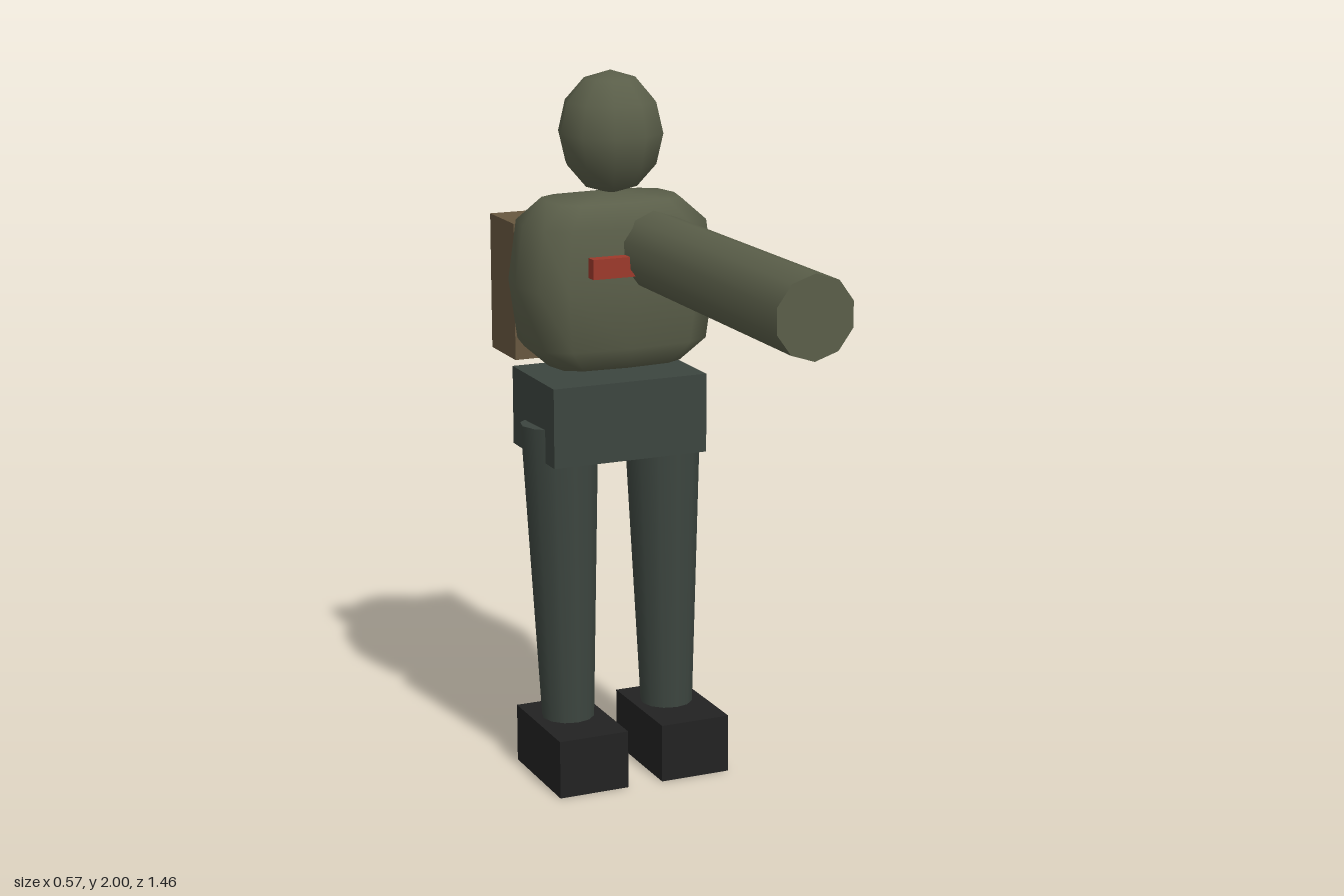
import * as THREE from 'three';
import { mergeVertices } from 'three/addons/utils/BufferGeometryUtils.js';

const material = (name, color) => {
  const m = new THREE.MeshStandardMaterial({ color });
  m.name = name;
  return m;
};

export function createModel() {
  const model = new THREE.Group();
  model.name = 'figure';
  const olive = material('olive cloth', 0x5a5e49);
  const slate = material('slate trousers', 0x3c453f);
  const black = material('black leather', 0x222222);
  const brown = material('brown canvas', 0x67573f);
  const red = material('red badge', 0x9c392b);

  const add = (name, geometry, mat, x, y, z) => {
    const mesh = new THREE.Mesh(geometry, mat);
    mesh.name = name;
    mesh.position.set(x, y, z);
    model.add(mesh);
    return mesh;
  };
  const box = (name, mat, w, h, d, x, y, z) =>
    add(name, new THREE.BoxGeometry(w, h, d), mat, x, y, z);

  // Tapered tube running between two points
  const limb = (name, mat, from, to, rFrom, rTo, sides) => {
    const a = new THREE.Vector3(...from);
    const b = new THREE.Vector3(...to);
    const dir = b.clone().sub(a);
    const mid = a.clone().add(b).multiplyScalar(0.5);
    const mesh = add(name, new THREE.CylinderGeometry(rTo, rFrom, dir.length(), sides), mat, mid.x, mid.y, mid.z);
    mesh.quaternion.setFromUnitVectors(new THREE.Vector3(0, 1, 0), dir.normalize());
    return mesh;
  };

  // Head
  add('head', new THREE.SphereGeometry(1, 10, 6), olive, 0, 1.83, -0.365).scale.set(0.148, 0.17, 0.148);

  // Torso: a sphere squared off towards a box
  let torso = new THREE.SphereGeometry(1, 12, 6);
  const p = torso.attributes.position;
  const square = (c, r) => Math.sign(c) * Math.abs(c) ** 0.58 * r;
  for (let i = 0; i < p.count; i++) {
    p.setXYZ(i, square(p.getX(i), 0.285), square(p.getY(i), 0.25), square(p.getZ(i), 0.17));
  }
  torso.deleteAttribute('uv');
  torso.deleteAttribute('normal');
  torso = mergeVertices(torso, 1e-4);
  torso.computeVertexNormals();
  add('torso', torso, olive, 0, 1.42, -0.365);

  // Long arm tube passing through the chest
  limb('forwardArm', olive, [0.073, 1.519, -0.57], [0.073, 1.519, 0.73], 0.106, 0.11, 10);

  // Chest badge, backpack and hips
  box('chestBadge', red, 0.13, 0.055, 0.035, -0.072, 1.491, -0.183);
  box('backpack', brown, 0.437, 0.39, 0.185, 0, 1.365, -0.638);
  box('hips', slate, 0.46, 0.225, 0.31, 0, 1.043, -0.385);

  // Legs and boots
  for (const [side, s] of [['left', 1], ['right', -1]]) {
    limb(side + 'Leg', slate, [s * 0.154, 0.165, -0.335], [s * 0.157, 1.023, -0.373], 0.075, 0.11, 12);
    box(side + 'Boot', black, 0.207, 0.168, 0.33, s * 0.156, 0.084, -0.302);
  }
  return model;
}
